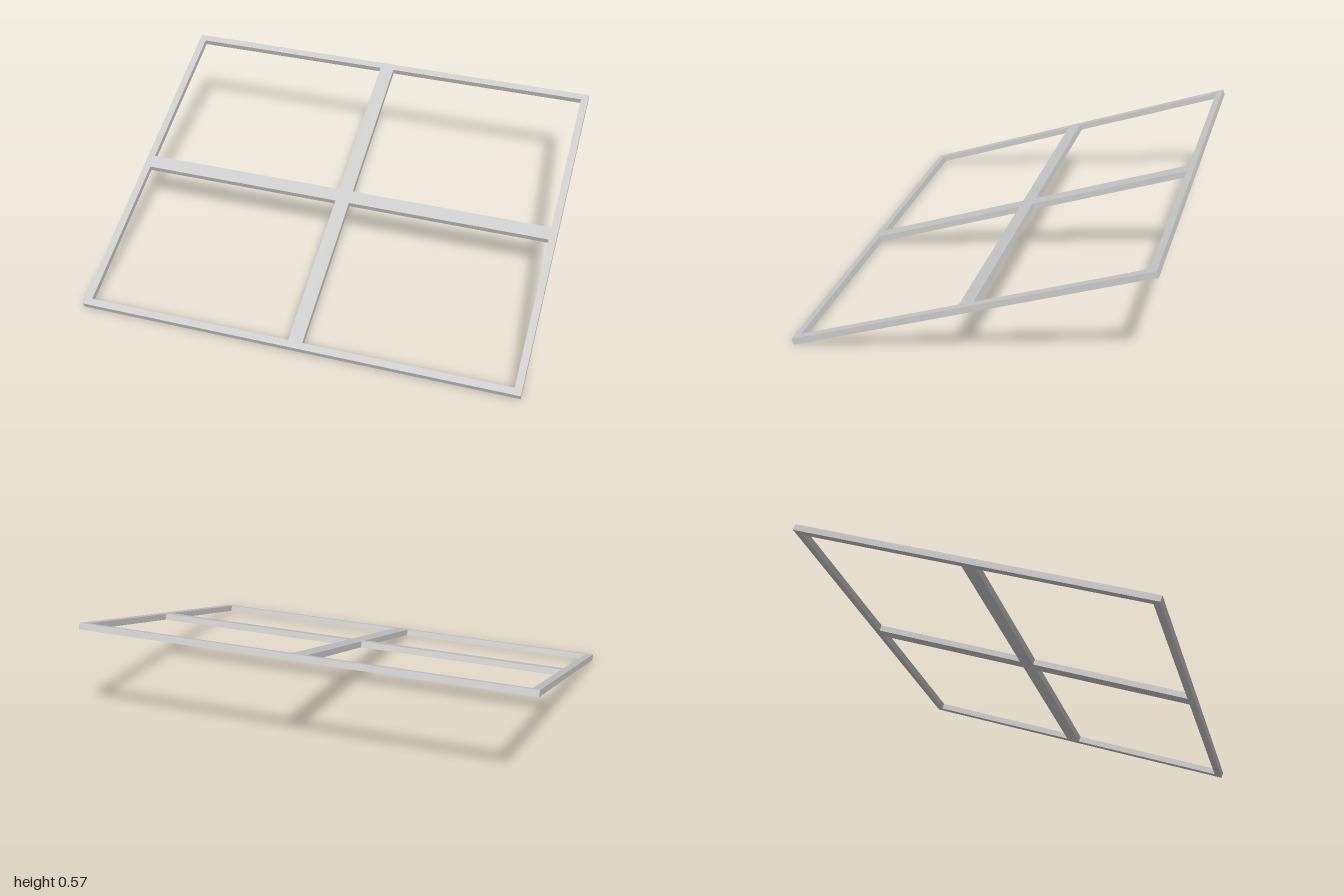
import * as THREE from 'three';

const WIDTH = 2, LENGTH = 1.629, THICK = 0.028;
const BORDER = 0.033, HALF_BAR = 0.033; // rim width, half width of the cross bars
const TILT = Math.atan(0.352);

function rectangle(path, x0, y0, x1, y1) {
  path.moveTo(x0, y0);
  path.lineTo(x1, y0);
  path.lineTo(x1, y1);
  path.lineTo(x0, y1);
  path.closePath();
  return path;
}

export function createModel() {
  const group = new THREE.Group();
  group.name = 'tiltedFrame';

  // Outer rim with a cross, left by four rectangular openings
  const w = WIDTH / 2, l = LENGTH / 2;
  const shape = rectangle(new THREE.Shape(), -w, -l, w, l);
  for (const x of [-w + BORDER, HALF_BAR]) {
    for (const y of [-l + BORDER, HALF_BAR]) {
      const holeW = w - BORDER - HALF_BAR, holeL = l - BORDER - HALF_BAR;
      shape.holes.push(rectangle(new THREE.Path(), x, y, x + holeW, y + holeL));
    }
  }
  const geometry = new THREE.ExtrudeGeometry(shape, { depth: THICK, bevelEnabled: false });
  geometry.translate(0, 0, -THICK / 2);
  geometry.rotateX(-Math.PI / 2);

  const frame = new THREE.Mesh(geometry, new THREE.MeshStandardMaterial({ color: 0xcccccc }));
  frame.name = 'windowFrame';

  // Lean the frame so its back edge rises and its front edge rests on the ground
  frame.rotation.x = TILT;
  frame.position.y = l * Math.sin(TILT) + (THICK / 2) * Math.cos(TILT);
  group.add(frame);
  return group;
}
